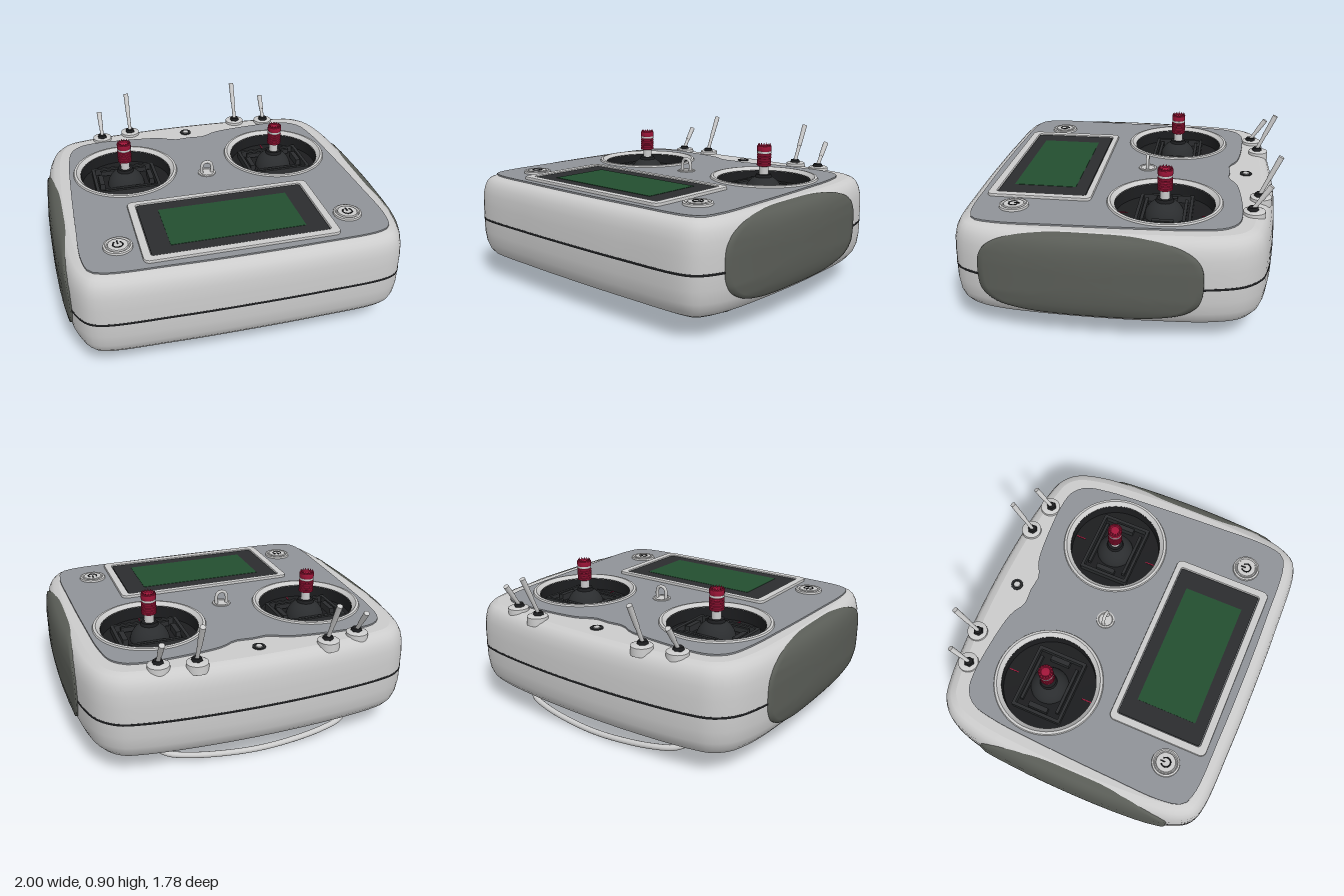
import * as THREE from 'three';
import { toCreasedNormals } from 'three/addons/utils/BufferGeometryUtils.js';

const mat = (color, side = THREE.FrontSide) => new THREE.MeshStandardMaterial({ color, side });
const GREY = mat(0xcccccc), PANEL = mat(0x909398), BLACK = mat(0x1c1d1f), DARK = mat(0x2b2d2f);
const RUBBER = mat(0x5a5d57), RED = mat(0xa3163a), GREEN = mat(0x234f30), BASE = mat(0x8a8c8e);
const V = (x, y, z) => new THREE.Vector3(x, y, z);

function add(parent, name, geometry, material, x = 0, y = 0, z = 0) {
  const mesh = new THREE.Mesh(geometry, material);
  mesh.name = name;
  mesh.position.set(x, y, z);
  parent.add(mesh);
  return mesh;
}

// Smooth closed plan outline from [x, z] points of the left half, back to front
function mirroredOutline(half, n) {
  const other = half.slice(1, -1).reverse().map(([x, z]) => [-x, z]);
  const pts = [...half, ...other].map(([x, z]) => V(x, 0, z));
  return new THREE.CatmullRomCurve3(pts, true).getSpacedPoints(n).slice(0, n);
}

// Move an outline inwards along its normals
function inset(pts, d, y) {
  const n = pts.length;
  return pts.map((p, i) => {
    const t = pts[(i + 1) % n].clone().sub(pts[(i + n - 1) % n]).normalize();
    return V(p.x - t.z * d, y, p.z + t.x * d);
  });
}

// Skin over closed rings of equal point count
function loft(rings) {
  const n = rings[0].length, index = [];
  for (let j = 0; j < rings.length - 1; j++) for (let i = 0; i < n; i++) {
    const a = j * n + i, b = j * n + (i + 1) % n;
    index.push(a, a + n, b, b, a + n, b + n);
  }
  const g = new THREE.BufferGeometry().setFromPoints(rings.flat());
  g.setIndex(index);
  g.computeVertexNormals();
  return g;
}

const planShape = pts => new THREE.Shape(pts.map(p => new THREE.Vector2(p.x, -p.z)));
const circleHole = (x, z, r) => new THREE.Path().absarc(x, -z, r, 0, Math.PI * 2, true);

// Horizontal slab with its underside at y
function slab(shape, y, h, bevel = 0) {
  const g = new THREE.ExtrudeGeometry(shape, {
    depth: h - bevel, bevelEnabled: bevel > 0, bevelThickness: bevel, bevelSize: bevel,
    bevelOffset: -bevel, bevelSegments: 2, curveSegments: 48,
  });
  return g.rotateX(-Math.PI / 2).translate(0, y, 0);
}

function rect(x0, x1, z0, z1, r, Type = THREE.Shape) {
  const s = new Type(), a = -z1, b = -z0, q = Math.PI / 2;
  s.absarc(x1 - r, a + r, r, -q, 0).absarc(x1 - r, b - r, r, 0, q);
  s.absarc(x0 + r, b - r, r, q, 2 * q).absarc(x0 + r, a + r, r, 2 * q, 3 * q);
  s.closePath();
  return s;
}

const lathe = (pts, seg = 48) => toCreasedNormals(
  new THREE.LatheGeometry(pts.map(([r, y]) => new THREE.Vector2(r, y)), seg), 0.6);

function rod(parent, name, p, q, r0, r1, material) {
  const d = q.clone().sub(p);
  const m = add(parent, name, new THREE.CylinderGeometry(r1, r0, d.length(), 16), material);
  m.position.copy(p).addScaledVector(d, 0.5);
  m.quaternion.setFromUnitVectors(V(0, 1, 0), d.normalize());
  return m;
}

const BODY = mirroredOutline([[0, -0.88], [0.4, -0.866], [0.7, -0.832], [0.81, -0.8], [0.9, -0.715],
  [0.955, -0.55], [0.982, -0.25], [0.99, 0.05], [0.983, 0.35], [0.962, 0.6], [0.93, 0.73],
  [0.875, 0.82], [0.8, 0.855], [0.4, 0.877], [0, 0.882]], 180);
// [inset, height] up the wall
const PROFILE = [[0.13, 0.12], [0.09, 0.125], [0.055, 0.143], [0.028, 0.175], [0.01, 0.22], [0, 0.29],
  [0, 0.37], [0, 0.46], [0.005, 0.53], [0.016, 0.575], [0.032, 0.605], [0.052, 0.623], [0.085, 0.635]];

// Side of the body at a given height and depth
function bodyX(y, z) {
  let x = 0;
  for (let i = 0; i < BODY.length / 2; i++) {
    const a = BODY[i], b = BODY[i + 1];
    if (a.z <= z && b.z > z) x = THREE.MathUtils.mapLinear(z, a.z, b.z, a.x, b.x);
  }
  const k = Math.max(1, PROFILE.findIndex(p => p[1] >= y));
  return x - THREE.MathUtils.mapLinear(y, PROFILE[k - 1][1], PROFILE[k][1], PROFILE[k - 1][0], PROFILE[k][0]);
}

function sideGrip() {
  const rings = [0.001, 0.2, 0.4, 0.6, 0.75, 0.86, 0.94, 1, 1.005].map(r =>
    Array.from({ length: 96 }, (_, i) => {
      const t = i / 96 * Math.PI * 2, c = Math.cos(t), s = -Math.sin(t), e = 2 / 3.2;
      const z = 0.095 + 0.595 * r * Math.sign(c) * Math.abs(c) ** e;
      const y = 0.4 + 0.231 * r * Math.sign(s) * Math.abs(s) ** e;
      return V(bodyX(y, z) + (r > 1 ? -0.02 : 0.01), y, z);
    }));
  return loft(rings);
}

function gimbal() {
  const g = new THREE.Group();
  add(g, 'gimbalRim', lathe([[0.328, 0.635], [0.32, 0.654], [0.305, 0.656], [0.28, 0.632]], 64), GREY);
  add(g, 'gimbalWell', lathe([[0.281, 0.636], [0.278, 0.56], [0, 0.555]], 64), BLACK);
  const frame = rect(-0.2, 0.2, -0.155, 0.155, 0.008);
  frame.holes.push(rect(-0.18, 0.18, -0.137, 0.137, 0.005, THREE.Path));
  add(g, 'gimbalFrame', slab(frame, 0.55, 0.05), DARK);
  for (const s of [-1, 1]) {
    add(g, 'gimbalRail', new THREE.BoxGeometry(0.29, 0.03, 0.018), DARK, 0, 0.58, s * 0.115);
    add(g, 'gimbalPivot', new THREE.BoxGeometry(0.03, 0.04, 0.12), DARK, s * 0.155, 0.58, 0);
    add(g, 'centreMark', new THREE.BoxGeometry(0.006, 0.003, 0.06), RED, 0, 0.562, s * 0.24);
  }
  add(g, 'gimbalDome', new THREE.SphereGeometry(0.115, 40, 20, 0, Math.PI * 2, 0, Math.PI / 2), DARK, 0, 0.545, 0);
  add(g, 'stickBoot', new THREE.CylinderGeometry(0.045, 0.052, 0.018, 32), BLACK, 0, 0.656, 0);
  add(g, 'stickShaft', new THREE.CylinderGeometry(0.028, 0.028, 0.08, 24), GREY, 0, 0.69, 0);
  // Ribbed stick end with a light collar and a crown of teeth
  const ribs = [[0, 0.713], [0.033, 0.713]];
  for (let i = 0; i < 5; i++) {
    const y = 0.718 + i * 0.015;
    ribs.push([0.043, y], [0.043, y + 0.009], [0.037, y + 0.012]);
  }
  add(g, 'stickGrip', lathe([...ribs, [0.037, 0.795], [0, 0.795]], 32), RED);
  add(g, 'stickCollar', new THREE.CylinderGeometry(0.042, 0.042, 0.012, 32), GREY, 0, 0.799, 0);
  add(g, 'stickCap', lathe([[0.041, 0.805], [0.043, 0.81], [0.043, 0.836], [0.03, 0.84], [0.026, 0.834], [0, 0.834]], 32), RED);
  for (let i = 0; i < 14; i++) {
    const a = i / 14 * Math.PI * 2;
    add(g, 'stickTooth', new THREE.ConeGeometry(0.007, 0.016, 4), RED, 0.036 * Math.cos(a), 0.843, 0.036 * Math.sin(a));
  }
  return g;
}

function toggle(z, tip) {
  const g = new THREE.Group(), from = V(0, 0.655, z + 0.012), mid = from.clone().lerp(tip, 0.45);
  add(g, 'switchBase', lathe([[0.062, 0.605], [0.06, 0.652], [0.05, 0.657], [0, 0.657]], 32), GREY, 0, 0, z);
  add(g, 'switchNut', new THREE.CylinderGeometry(0.026, 0.032, 0.02, 6), BLACK, 0, 0.665, z + 0.008);
  rod(g, 'switchLever', from, mid, 0.011, 0.012, GREY);
  rod(g, 'switchTip', mid, tip, 0.014, 0.016, GREY);
  return g;
}

function powerButton() {
  const g = new THREE.Group();
  add(g, 'buttonRing', lathe([[0.082, 0.64], [0.08, 0.656], [0.07, 0.66], [0.064, 0.652], [0.058, 0.652], [0.055, 0.66], [0, 0.661]]), GREY);
  const arc = new THREE.TorusGeometry(0.027, 0.004, 8, 32, Math.PI * 1.6).rotateZ(Math.PI * 0.7).rotateX(-Math.PI / 2);
  add(g, 'buttonArc', arc, BLACK, 0, 0.66, 0);
  add(g, 'buttonBar', new THREE.BoxGeometry(0.008, 0.006, 0.03), BLACK, 0, 0.661, -0.019);
  return g;
}

export function createModel() {
  const model = new THREE.Group();
  model.name = 'remoteController';

  // Shell
  add(model, 'shell', loft(PROFILE.map(([d, y]) => inset(BODY, d, y))), GREY);
  add(model, 'seam', loft([[0.004, 0.363], [-0.002, 0.364], [-0.002, 0.376], [0.004, 0.377]].map(([d, y]) => inset(BODY, d, y))), BLACK);
  const top = planShape(inset(BODY, 0.085, 0));
  const panel = planShape(mirroredOutline([[0, -0.61], [0.1, -0.604], [0.18, -0.645], [0.27, -0.665], [0.6, -0.685],
    [0.72, -0.665], [0.79, -0.6], [0.825, -0.45], [0.845, -0.15], [0.862, 0.3], [0.865, 0.62], [0.835, 0.735],
    [0.76, 0.772], [0.4, 0.79], [0, 0.796]], 140));
  for (const s of [top, panel]) for (const x of [-0.49, 0.49]) s.holes.push(circleHole(x, -0.255, 0.3));
  add(model, 'topDeck', slab(top, 0.615, 0.02), GREY);
  add(model, 'facePanel', slab(panel, 0.63, 0.014), PANEL);
  add(model, 'underside', slab(planShape(inset(BODY, 0.13, 0)), 0.12, 0.02), BASE);

  // Screen
  const bezel = rect(-0.55, 0.55, 0.155, 0.75, 0.035);
  bezel.holes.push(rect(-0.505, 0.505, 0.19, 0.705, 0.015, THREE.Path));
  add(model, 'screenBezel', slab(bezel, 0.64, 0.021, 0.005), GREY);
  add(model, 'screenGlass', slab(rect(-0.5, 0.5, 0.195, 0.7, 0.012), 0.64, 0.014), DARK);
  add(model, 'display', new THREE.BoxGeometry(0.77, 0.004, 0.36), GREEN, 0, 0.654, 0.45);

  // Mirrored controls, grips and foot pads
  const gripGeo = sideGrip();
  const foot = planShape([[0.44, -0.5], [0.8, -0.5], [0.86, -0.42], [0.875, 0], [0.86, 0.57], [0.82, 0.63], [0.44, 0.63],
    [0.41, 0.6], [0.41, -0.47]].map(([x, z]) => V(x, 0, z)));
  for (const s of [-1, 1]) {
    const side = s > 0 ? 'left' : 'right';
    add(model, side + 'Grip', gripGeo, RUBBER).scale.x = s;
    add(model, side + 'FootPad', slab(foot, 0.113, 0.02), DARK).scale.x = s;
    const parts = [[gimbal(), 'Gimbal', 0.49, -0.255], [powerButton(), 'PowerButton', 0.66, 0.56],
      [toggle(-0.745, V(0, 0.8, -0.828)), 'ShortSwitch', 0.572, 0], [toggle(-0.785, V(0, 0.893, -0.88)), 'LongSwitch', 0.375, 0]];
    for (const [g, name, x, z] of parts) {
      g.name = side + name;
      g.position.set(s * x, 0, z);
      model.add(g);
    }
  }

  // Neck strap ring and small jack
  add(model, 'strapBase', lathe([[0.056, 0.64], [0.054, 0.65], [0.044, 0.652], [0.04, 0.647], [0, 0.647]]), GREY, 0, 0, -0.105);
  const loop = new THREE.CatmullRomCurve3([V(-0.032, 0.64, 0), V(-0.032, 0.69, 0), V(-0.022, 0.712, 0), V(0, 0.72, 0),
    V(0.022, 0.712, 0), V(0.032, 0.69, 0), V(0.032, 0.64, 0)]);
  add(model, 'strapRing', new THREE.TubeGeometry(loop, 32, 0.01, 12), GREY, 0, 0, -0.105);
  add(model, 'jackRim', lathe([[0.037, 0.63], [0.036, 0.641], [0.024, 0.641], [0.02, 0.638]]), DARK, 0, 0, -0.705);
  add(model, 'jackCentre', new THREE.CylinderGeometry(0.018, 0.018, 0.012, 24), GREY, 0, 0.637, -0.705);

  // Wire carrying handle
  const wire = [[0.62, 0.13, -0.59], [0.6, 0.1, -0.64], [0.53, 0.065, -0.7], [0.4, 0.045, -0.735], [0.2, 0.026, -0.755]];
  const path = [...wire.map(p => V(...p)), V(0, 0.017, -0.76), ...wire.reverse().map(([x, y, z]) => V(-x, y, z))];
  add(model, 'handle', new THREE.TubeGeometry(new THREE.CatmullRomCurve3(path), 80, 0.017, 12), GREY);

  // Battery door with arrow and label, and front screws
  add(model, 'batteryDoor', slab(rect(-0.39, 0.39, -0.2, 0.63, 0.015), 0.114, 0.02), BASE);
  add(model, 'label', new THREE.BoxGeometry(0.36, 0.004, 0.16), PANEL, 0, 0.1135, 0.5);
  for (const s of [-1, 1]) {
    add(model, 'doorArrow', new THREE.BoxGeometry(0.07, 0.006, 0.008), BLACK, s * 0.025, 0.113, 0.12).rotation.y = -s * 0.7;
    add(model, 'screw', new THREE.CylinderGeometry(0.02, 0.02, 0.01, 16), DARK, s * 0.6, 0.12, 0.69);
  }
  return model;
}
